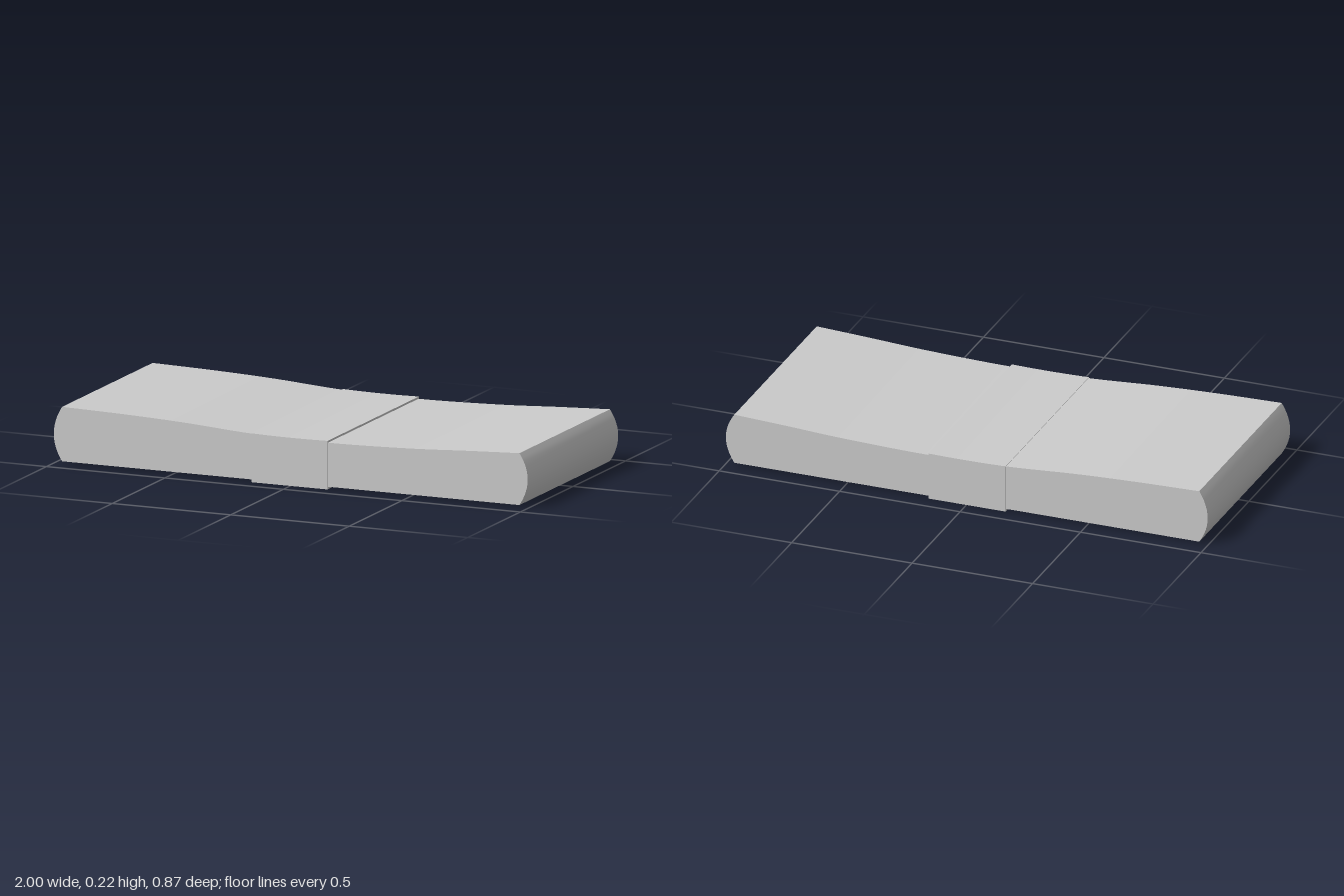
import * as THREE from 'three';
import { toCreasedNormals } from 'three/addons/utils/BufferGeometryUtils.js';

const material = new THREE.MeshStandardMaterial({ color: 0xcccccc });
const points = list => list.map(([x, y]) => new THREE.Vector2(x, y));

// Extrude a side profile along z, centred, with smooth curves and sharp edges.
function extrudeProfile(name, shape, depth) {
  let geometry = new THREE.ExtrudeGeometry(shape, { depth, bevelEnabled: false, curveSegments: 12 });
  geometry.translate(0, 0, -depth / 2);
  geometry = toCreasedNormals(geometry, 0.45);
  const mesh = new THREE.Mesh(geometry, material);
  mesh.name = name;
  return mesh;
}

export function createModel() {
  const group = new THREE.Group();
  group.name = 'bandedSlab';

  // Slab with rounded ends and a gently dished top
  const slab = new THREE.Shape();
  slab.moveTo(-0.965, 0.01);
  slab.lineTo(0.965, 0.01);
  slab.quadraticCurveTo(1.035, 0.115, 0.965, 0.215);
  slab.splineThru(points([[0.75, 0.205], [0.5, 0.192], [0.16, 0.184], [-0.16, 0.191], [-0.45, 0.209], [-0.7, 0.219], [-0.965, 0.225]]));
  slab.quadraticCurveTo(-1.035, 0.115, -0.965, 0.01);
  group.add(extrudeProfile('slab', slab, 0.86));

  // Band wrapped around the middle, slightly proud of the slab
  const band = new THREE.Shape();
  band.moveTo(-0.163, 0);
  band.lineTo(0.157, 0);
  band.lineTo(0.157, 0.192);
  band.quadraticCurveTo(0, 0.188, -0.163, 0.193);
  band.closePath();
  group.add(extrudeProfile('middleBand', band, 0.868));

  return group;
}
